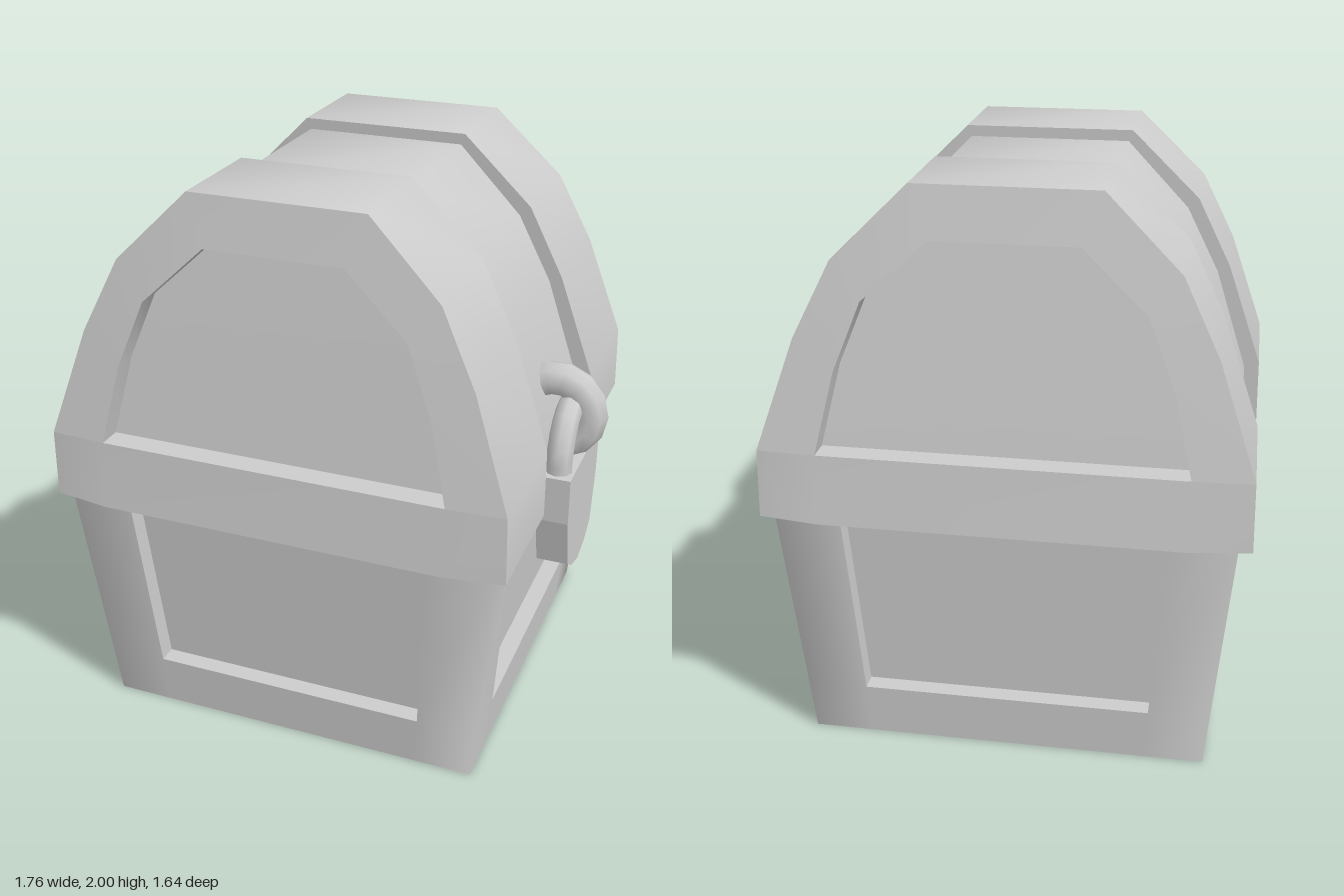
import * as THREE from 'three';

const CX = -0.065; // the chest is shifted to make room for the padlock
const grey = new THREE.MeshStandardMaterial({ color: 0xcccccc });
grey.name = 'plain grey';

function mesh(name, geometry) {
  const m = new THREE.Mesh(geometry, grey);
  m.name = name;
  return m;
}

// Smooth surface through rows of points; columns run right and rows run up, seen from outside
function sheet(name, rows) {
  const n = rows[0].length, index = [];
  for (let r = 0; r < rows.length - 1; r++)
    for (let c = 0; c < n - 1; c++) {
      const a = r * n + c;
      index.push(a, a + 1, a + n + 1, a, a + n + 1, a + n);
    }
  const g = new THREE.BufferGeometry();
  g.setAttribute('position', new THREE.Float32BufferAttribute(rows.flat(2), 3));
  g.setIndex(index);
  g.computeVertexNormals();
  return mesh(name, g);
}

// Half arch (half width, height) from the base up, mirrored into a full arch left to right
const arch = (half) => [...half.map(([u, y]) => [-u, y]), ...half.slice().reverse()];

const OUTER = [[0.815, 0.88], [0.81, 1.12], [0.68, 1.5], [0.555, 1.755], [0.305, 2]];
const MIDDLE = [[0.762, 0.88], [0.755, 1.1], [0.635, 1.48], [0.515, 1.72], [0.29, 1.96]];
const OPENING = [[0.61, 1.12], [0.545, 1.4], [0.455, 1.63], [0.24, 1.83]];

// Lid end leans inwards towards the top; the band's inner edge does too
const endZ = (y) => (y < 1.12 ? 0.79 : 0.79 - 0.12 * ((y - 1.12) / 0.88) ** 1.05);
const bandZ = (y) => 0.33 - 0.055 * (y - 0.88) / 1.12;
const lipZ = (y) => endZ(y) + 0.01;
const panelZ = (y) => lipZ(y) - 0.085;
const place = (pts, zOf) => pts.map(([u, y]) => [u, y, zOf(y)]);

// One end of the lid, facing +z
function lidEnd() {
  const g = new THREE.Group();
  g.name = 'lidEnd';
  const outer = arch(OUTER), opening = arch(OPENING);
  g.add(
    sheet('lidBand', [place(outer, endZ), place(outer, bandZ)]),
    sheet('lidBandStep', [place(outer, bandZ), place(arch(MIDDLE), bandZ)]),
    sheet('lidFrame', [place(opening, lipZ), place(arch(OUTER.slice(1)), endZ)]),
    sheet('lidApron', [
      [[-0.815, 0.88, 0.79], [-0.61, 0.88, 0.82], [0.61, 0.88, 0.82], [0.815, 0.88, 0.79]],
      [[-0.81, 1.12, 0.79], [-0.61, 1.12, 0.8], [0.61, 1.12, 0.8], [0.81, 1.12, 0.79]],
    ]),
    sheet('lidRecessWall', [place(opening, panelZ), place(opening, lipZ)]),
    sheet('lidSill', [lipZ, panelZ].map((f) => place([[-0.61, 1.12], [0.61, 1.12]], f))),
    sheet('lidPanel', OPENING.map(([u, y]) => place([[-u, y], [u, y]], panelZ))),
  );
  return g;
}

function lid() {
  const g = new THREE.Group();
  g.name = 'lid';
  const front = lidEnd(), back = lidEnd();
  back.rotation.y = Math.PI;
  const mid = arch(MIDDLE);
  const under = [[0.61, -0.82], [0.815, -0.79], [0.815, -0.33], [0.762, -0.33],
    [0.762, 0.33], [0.815, 0.33], [0.815, 0.79], [0.61, 0.82]];
  g.add(front, back,
    sheet('lidMiddle', [place(mid, bandZ), place(mid, (y) => -bandZ(y))]),
    sheet('lidUnderside', under.map(([u, z]) => [[-u, 0.88, z], [u, 0.88, z]])));
  return g;
}

// Tapered base: half width of the walls, half width of the panels, recess depth
const wall = (y) => 0.693 + 0.077 * y / 0.88;
const panel = (y) => 0.486 + 0.06 * y / 0.88;
const DEPTH = 0.065, RAIL = 0.19, TOP = 0.88;

// One side of the base, facing +z, with the corner post at its right
function baseSide() {
  const g = new THREE.Group();
  g.name = 'baseSide';
  const row = (y, d) => [[-panel(y), y, wall(y) - d], [panel(y), y, wall(y) - d]];
  const jamb = (s, d) => [RAIL, TOP].map((y) => [s * panel(y), y, wall(y) - d]);
  g.add(
    sheet('cornerPost', [0, RAIL, TOP].map((y) => {
      const w = wall(y), p = panel(y);
      return [[p, y, w], [w, y, w], [w, y, p]];
    })),
    sheet('bottomRail', [row(0, 0), row(RAIL, 0)]),
    sheet('baseSill', [row(RAIL, 0), row(RAIL, DEPTH)]),
    sheet('basePanel', [row(RAIL, DEPTH), row(TOP, DEPTH)]),
    sheet('leftJamb', [jamb(-1, DEPTH), jamb(-1, 0)]),
    sheet('rightJamb', [jamb(1, 0), jamb(1, DEPTH)]),
  );
  return g;
}

function base() {
  const g = new THREE.Group();
  g.name = 'base';
  for (let i = 0; i < 4; i++) {
    const side = baseSide();
    side.rotation.y = i * Math.PI / 2;
    g.add(side);
  }
  const b = wall(0);
  g.add(sheet('baseBottom', [[[-b, 0, -b], [b, 0, -b]], [[-b, 0, b], [b, 0, b]]]));
  return g;
}

function padlock() {
  const g = new THREE.Group();
  g.name = 'padlock';

  // Shield-shaped case, extruded along x
  const half = [[0.22, 0.965], [0.215, 0.79], [0.17, 0.6], [0.1, 0.555]];
  const pts = [...half, [0, 0.53], ...half.slice().reverse().map(([z, y]) => [-z, y])];
  const shape = new THREE.Shape(pts.map(([z, y]) => new THREE.Vector2(z, y)));
  const box = mesh('lockCase', new THREE.ExtrudeGeometry(shape, { depth: 0.115, bevelEnabled: false }));
  box.rotation.y = Math.PI / 2;
  box.position.x = 0.695;

  // Shackle rising out of the case
  const path = new THREE.CatmullRomCurve3(
    [[-0.155, 0.94], [-0.15, 1.04], [-0.095, 1.13], [0, 1.165], [0.095, 1.13], [0.15, 1.04], [0.155, 0.94]]
      .map(([z, y]) => new THREE.Vector3(0.752, y, z)));
  const shackle = mesh('shackle', new THREE.TubeGeometry(path, 12, 0.047, 8));

  // Ring fixed to the lid, through which the shackle passes
  const ring = mesh('lidRing', new THREE.TorusGeometry(0.125, 0.062, 8, 14));
  ring.position.set(0.695, 1.12, 0);

  g.add(box, shackle, ring);
  return g;
}

export function createModel() {
  const model = new THREE.Group();
  model.name = 'treasureChest';
  const chest = new THREE.Group();
  chest.name = 'chest';
  chest.position.x = CX;
  chest.add(base(), lid());
  model.add(chest, padlock());
  return model;
}
